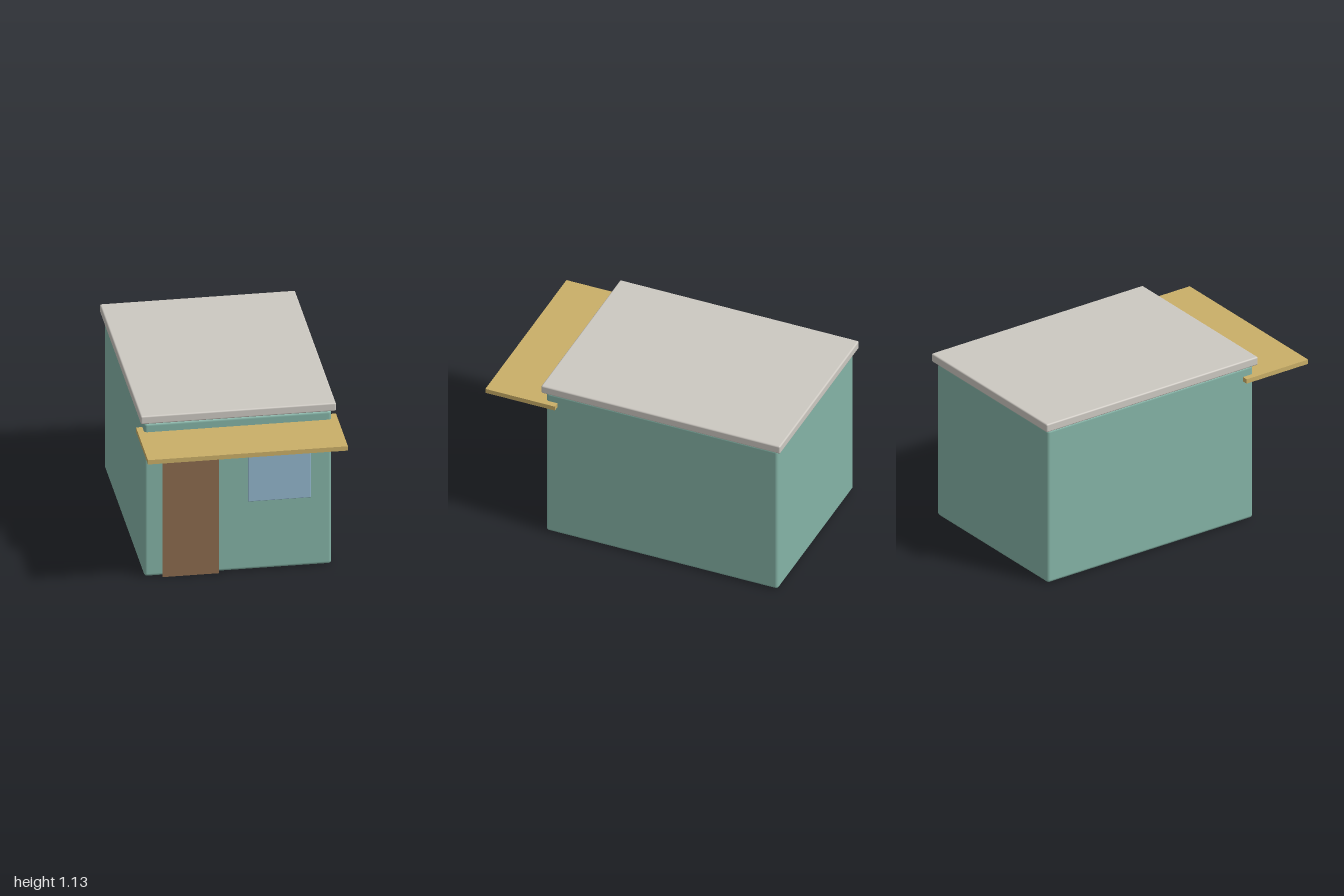
import * as THREE from 'three';
import { RoundedBoxGeometry } from 'three/addons/geometries/RoundedBoxGeometry.js';

function material(name, color) {
  const m = new THREE.MeshStandardMaterial({ color });
  m.name = name;
  return m;
}

// Box spanning the given [min, max] ranges, with optional rounded edges
function block(name, mat, [x0, x1], [y0, y1], [z0, z1], radius = 0) {
  const size = [x1 - x0, y1 - y0, z1 - z0];
  const geometry = radius
    ? new RoundedBoxGeometry(...size, 3, radius)
    : new THREE.BoxGeometry(...size);
  const mesh = new THREE.Mesh(geometry, mat);
  mesh.name = name;
  mesh.position.set((x0 + x1) / 2, (y0 + y1) / 2, (z0 + z1) / 2);
  return mesh;
}

export function createModel() {
  const wall = material('sage green wall', 0x84b3a6);
  const stone = material('pale stone', 0xccc8c1);
  const canvas = material('sandy awning', 0xcaaf68);
  const wood = material('brown wood', 0x8b6b4e);
  const glass = material('blue glass', 0x92b6cc);

  const shop = new THREE.Group();
  shop.name = 'shop';
  shop.add(
    // Main volume and overhanging roof slab
    block('walls', wall, [-0.592, 0.592], [0.004, 1.068], [-0.974, 0.606], 0.02),
    block('roofSlab', stone, [-0.617, 0.617], [1.072, 1.129], [-1, 0.627], 0.01),
    // Shop front
    block('awning', canvas, [-0.632, 0.632], [0.977, 1.007], [0.527, 1]),
    block('signBoard', stone, [-0.397, 0.394], [0.823, 0.985], [0.611, 0.643]),
    block('door', wood, [-0.478, -0.121], [0, 0.832], [0.604, 0.619]),
    block('window', glass, [0.061, 0.458], [0.485, 0.822], [0.606, 0.627], 0.005),
  );
  return shop;
}
